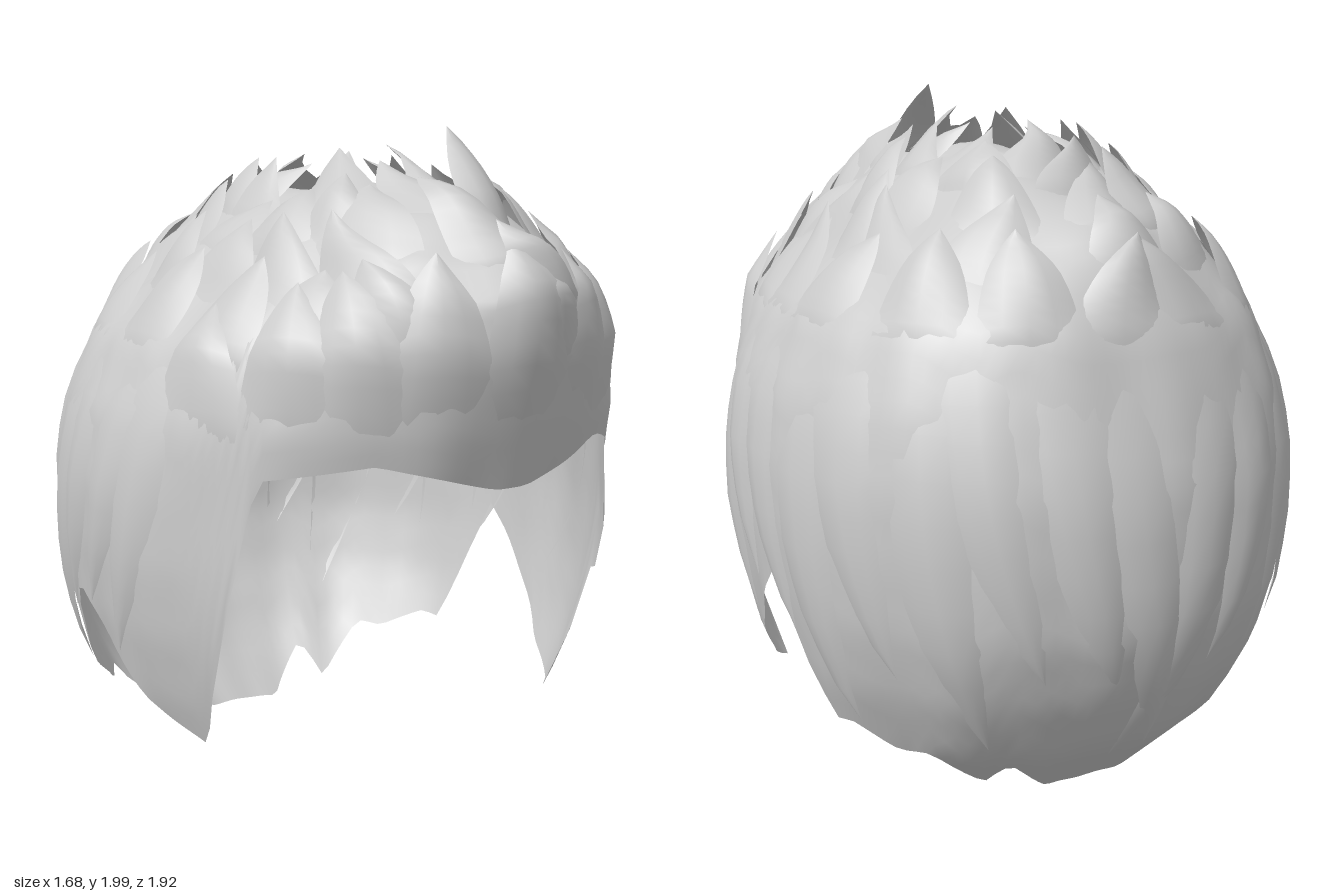
import * as THREE from 'three';

const RAD = Math.PI / 180;
const material = new THREE.MeshStandardMaterial({ color: 0xcccccc, side: THREE.DoubleSide });

// Horizontal sections of the hair: height, half width, reach to front, reach to back
const SECTIONS = [
  [1.81, 0, 0, 0], [1.795, 0.14, 0.38, 0.25], [1.74, 0.3, 0.66, 0.45], [1.65, 0.43, 0.85, 0.62],
  [1.55, 0.54, 0.92, 0.72], [1.4, 0.7, 0.92, 0.82], [1.2, 0.79, 0.87, 0.88], [1, 0.82, 0.81, 0.93],
  [0.8, 0.82, 0.86, 0.94], [0.6, 0.8, 0.87, 0.93], [0.4, 0.76, 0.8, 0.86], [0.2, 0.69, 0.72, 0.74], [0, 0.48, 0.45, 0.54],
];

// Lower edge: angle from the front toward +x, height
const HEM = [
  [0, 1.04], [4, 1.04], [26, 1.14], [51, 1.03], [57, 0.62], [61, 0.6], [64, 0.18], [79, 0.29], [105, 0.68], [117, 0.25],
  [122, 0.26], [134, 0.19], [141, 0.2], [152, 0.04], [159, 0.14], [171, 0], [198, 0.02], [213, 0.18], [218, 0.08],
  [225, 0.25], [231, 0.22], [243, 0.34], [256, 0.66], [280, 0.38], [296, 0.28], [303, 0.58], [311, 1.08],
  [333, 1.13], [357, 1.04], [360, 1.04],
];

const lerp = THREE.MathUtils.lerp;

function hemAt(angle) {
  const a = ((angle % 360) + 360) % 360;
  const k = Math.max(1, HEM.findIndex(h => h[0] >= a));
  const [p, q] = [HEM[k - 1], HEM[k]];
  return lerp(p[1], q[1], (a - p[0]) / (q[0] - p[0]));
}

// Section number (with fraction) at a height
function rowAt(y) {
  for (let k = 1; k < SECTIONS.length; k++) {
    if (y >= SECTIONS[k][0]) {
      return k - 1 + (SECTIONS[k - 1][0] - y) / (SECTIONS[k - 1][0] - SECTIONS[k][0]);
    }
  }
  return SECTIONS.length - 1;
}

// Point on the hair volume, lumpy toward the crown, pushed outward by offset
function surface(angle, row, offset = 0) {
  const r = THREE.MathUtils.clamp(row, 0, SECTIONS.length - 1);
  const k = Math.min(SECTIONS.length - 2, Math.floor(r));
  const [y, w, f, b] = SECTIONS[k].map((v, n) => lerp(v, SECTIONS[k + 1][n], r - k));
  const s = Math.sin(angle * RAD), c = Math.cos(angle * RAD);
  const depth = c > 0 ? f : b, e = c > 0 ? 2 : 2.2;
  const radius = w < 1e-6 ? 0 : 1 / Math.pow(Math.pow(Math.abs(s) / w, e) + Math.pow(Math.abs(c) / depth, e), 1 / e);
  const p = new THREE.Vector3(s * radius, y, c * radius);
  const normal = new THREE.Vector3(p.x, (y - 0.9) * 1.2, p.z).normalize();
  const lump = 0.025 * THREE.MathUtils.smoothstep(y, 1.3, 1.7) * Math.sin(11 * p.x + 3 * p.z + 1) * Math.sin(12 * p.z - 4 * p.x);
  return p.addScaledVector(normal, offset + lump);
}

function grid(points, columns, closed) {
  const pos = [], index = [];
  points.forEach(p => pos.push(p.x, p.y, p.z));
  const rows = points.length / columns;
  for (let j = 0; j < rows - 1; j++) {
    for (let i = 0; i < (closed ? columns : columns - 1); i++) {
      const n = (i + 1) % columns;
      const a = j * columns + i, b = a + columns, c = (j + 1) * columns + n, d = j * columns + n;
      index.push(a, b, d, b, c, d);
    }
  }
  const g = new THREE.BufferGeometry();
  g.setAttribute('position', new THREE.Float32BufferAttribute(pos, 3));
  g.setIndex(index);
  g.computeVertexNormals();
  return g;
}

// Shell with shallow wavy strands, cut along the hem
function shell() {
  const columns = 144, rows = 36, points = [];
  for (let j = 0; j <= rows; j++) {
    for (let i = 0; i < columns; i++) {
      const a = i * 360 / columns, row = rowAt(hemAt(a)) * j / rows;
      const fade = THREE.MathUtils.smoothstep(row, 3, 6);
      const wave = Math.sin(a * 14 * RAD + row * 0.9) + 0.7 * Math.sin(a * 23 * RAD - row * 0.7);
      points.push(surface(a, row, 0.004 * fade * wave));
    }
  }
  return grid(points, columns, true);
}

// Pointed lock from (angle, height) to (angle, height); lift raises its tip
function lock(a0, y0, a1, y1, width, lift, thickness = 0.03) {
  const steps = 10, points = [], r0 = rowAt(y0), r1 = rowAt(y1);
  for (let j = 0; j <= steps; j++) {
    const u = j / steps, a = lerp(a0, a1, u * u), row = lerp(r0, r1, u);
    const p = surface(a, row);
    const half = width * (1 - u ** 2.2) / Math.max(0.25, Math.hypot(p.x, p.z)) / RAD;
    const base = -0.01 + (lift + 0.01) * u ** 1.8;
    for (let k = -2; k <= 2; k++) {
      const ridge = thickness * (1 - k * k / 4) * Math.sin(Math.PI * u);
      points.push(surface(a + k * half / 2, row, base + ridge));
    }
  }
  return grid(points, 5, false);
}

export function createModel() {
  const group = new THREE.Group();
  let seed = 11;
  const rnd = (lo, hi) => {
    seed = (seed * 16807) % 2147483647;
    return lo + (hi - lo) * seed / 2147483647;
  };
  const add = (name, geometry) => {
    const mesh = new THREE.Mesh(geometry, material);
    mesh.name = name;
    group.add(mesh);
  };

  add('hairShell', shell());

  // Broad front locks swept up from the fringe, highest in the middle
  for (let i = 0; i < 9; i++) {
    const a = -60 + i * 15 + rnd(-3, 3);
    const tip = lerp(1.69, 1.5, Math.abs(a) / 65) + rnd(-0.03, 0.03);
    add('fringeLock', lock(a, 1.18, a + rnd(-5, 5), tip, 0.15, rnd(0.03, 0.07)));
  }

  // Rings of tufts climbing over the crown
  [[1.36, 1.62, 16, 0.05], [1.5, 1.71, 14, 0.06], [1.62, 1.77, 12, 0.08], [1.72, 1.8, 8, 0.1]].forEach(([y0, y1, count, lift]) => {
    for (let i = 0; i < count; i++) {
      const a = (i + rnd(-0.25, 0.25)) * 360 / count;
      add('crownTuft', lock(a, y0, a + rnd(-14, 14), y1 + rnd(-0.03, 0), 0.14, lift + rnd(-0.03, 0.03)));
    }
  });

  // Tufts lying across the top
  for (let i = 0; i < 6; i++) {
    const a = i * 60 + rnd(-12, 12);
    add('topTuft', lock(a, 1.745, a + 25, 1.802, 0.13, rnd(0.06, 0.12)));
  }

  // Tall peaks near the front
  add('peakTuft', lock(3, 1.68, 1, 1.785, 0.12, 0.235));
  add('peakTuft', lock(32, 1.66, 30, 1.775, 0.1, 0.13));
  add('peakTuft', lock(-35, 1.66, -31, 1.765, 0.1, 0.1));

  // Broad flat locks lying over the sides and back
  for (let i = 0; i < 17; i++) {
    const a = 72 + i * 13.5 + rnd(-3, 3);
    const end = a + (a < 180 ? 12 : -12);
    const tip = Math.max(hemAt(end) + 0.06, rnd(0.15, 0.5));
    add('sideLock', lock(a, rnd(1.3, 1.5), end, tip, 0.15, rnd(0, 0.015), 0.025));
  }
  return group;
}
